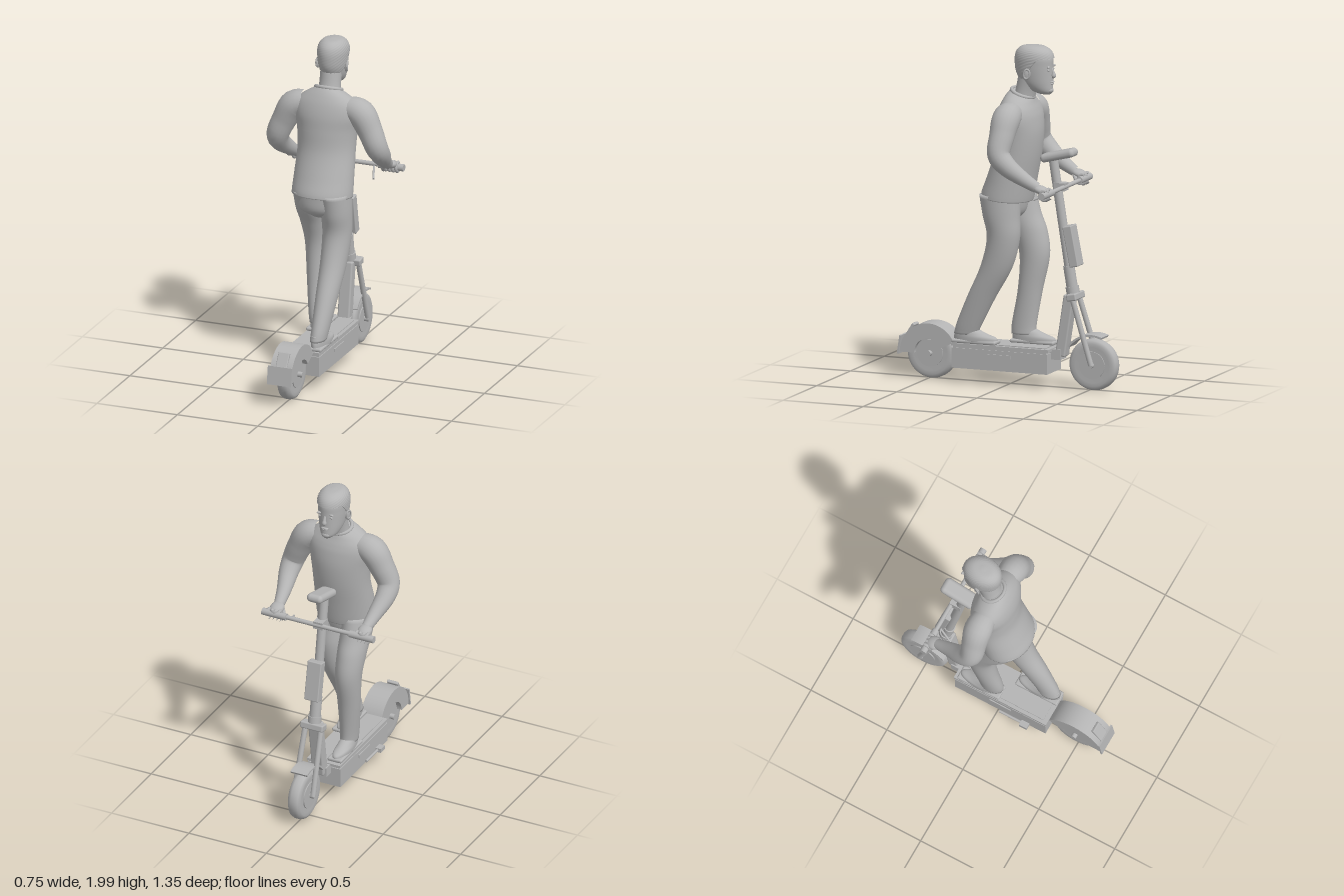
import * as THREE from 'three';
import { mergeVertices } from 'three/addons/utils/BufferGeometryUtils.js';
import { RoundedBoxGeometry } from 'three/addons/geometries/RoundedBoxGeometry.js';

const grey = new THREE.MeshStandardMaterial({ color: 0xb4b4b4 });
grey.name = 'grey';
const V = (a) => new THREE.Vector3(...a);
const UP = V([0, 1, 0]);

export function createModel() {
  const root = new THREE.Group();
  root.name = 'scooterRider';

  const add = (name, geo, pos = [0, 0, 0], rot = [0, 0, 0]) => {
    const m = new THREE.Mesh(geo, grey);
    m.name = name;
    m.position.set(...pos);
    m.rotation.set(...rot);
    root.add(m);
    return m;
  };
  const box = (name, size, pos, rot) => add(name, new THREE.BoxGeometry(...size), pos, rot);
  const rbox = (name, size, r, pos, rot) => add(name, new RoundedBoxGeometry(...size, 3, r), pos, rot);
  const ball = (name, size, pos, rot) => add(name, new THREE.SphereGeometry(1, 20, 14).scale(...size), pos, rot);

  // Places a geometry that is modelled along y between two points
  const span = (name, a, b, make) => {
    const d = V(b).sub(V(a));
    const m = add(name, make(d.length()), V(a).add(V(b)).multiplyScalar(0.5).toArray());
    m.quaternion.setFromUnitVectors(UP, d.normalize());
    return m;
  };
  const rod = (name, a, b, r, r2 = r) => span(name, a, b, (l) => new THREE.CylinderGeometry(r2, r, l, 20));
  const beam = (name, a, b, w, d, r = 0.01) => span(name, a, b, (l) => new RoundedBoxGeometry(w, l, d, 2, r));

  // Smooth skin over elliptical rings [x, y, z, rx, rz, tilt], listed bottom to top
  const loftGeo = (rows, n = 36, steps = 6) => {
    const mid = new THREE.CatmullRomCurve3(rows.map((r) => V(r.slice(0, 3))), false, 'catmullrom');
    const rad = new THREE.CatmullRomCurve3(rows.map((r) => V([r[3], r[4], r[5] || 0])), false, 'catmullrom');
    const k = (rows.length - 1) * steps, pos = [], idx = [];
    for (let i = 0; i <= k; i++) {
      const c = mid.getPoint(i / k), r = rad.getPoint(i / k);
      for (let j = 0; j < n; j++) {
        const a = (j / n) * Math.PI * 2, dz = Math.sin(a) * r.y;
        pos.push(c.x + Math.cos(a) * r.x, c.y + r.z * dz, c.z + dz);
        const p = i * n + j, q = i * n + ((j + 1) % n);
        if (i < k) idx.push(p, p + n, q, q, p + n, q + n);
      }
    }
    const first = (k + 1) * n;
    pos.push(...rows[0].slice(0, 3), ...rows[rows.length - 1].slice(0, 3));
    for (let j = 0; j < n; j++) {
      const q = (j + 1) % n;
      idx.push(first, j, q, first + 1, k * n + q, k * n + j);
    }
    const g = new THREE.BufferGeometry();
    g.setAttribute('position', new THREE.Float32BufferAttribute(pos, 3));
    g.setIndex(idx);
    g.computeVertexNormals();
    return g;
  };
  const loft = (name, rows) => add(name, loftGeo(rows));

  // Tube of varying radius through points [x, y, z, r]
  const limb = (name, pts) => {
    const curve = new THREE.CatmullRomCurve3(pts.map((p) => V(p.slice(0, 3))));
    const radii = new THREE.CatmullRomCurve3(pts.map((p) => V([p[3], 0, 0])), false, 'catmullrom');
    const seg = 30, n = 20;
    let g = new THREE.TubeGeometry(curve, seg, 1, n);
    const p = g.attributes.position, v = new THREE.Vector3();
    for (let i = 0; i < p.count; i++) {
      const u = Math.floor(i / (n + 1)) / seg, c = curve.getPointAt(u);
      v.fromBufferAttribute(p, i).sub(c).multiplyScalar(radii.getPoint(curve.getUtoTmapping(u)).x).add(c);
      p.setXYZ(i, v.x, v.y, v.z);
    }
    g.deleteAttribute('uv');
    g.deleteAttribute('normal');
    g = mergeVertices(g, 1e-5);
    g.computeVertexNormals();
    return add(name, g);
  };

  // Arched guard: ring sector in the z-y plane, extruded across x
  const guard = (name, r0, r1, from, to, width, pos) => {
    const s = new THREE.Shape();
    s.absarc(0, 0, r1, from, to, false);
    s.absarc(0, 0, r0, to, from, true);
    const g = new THREE.ExtrudeGeometry(s, { depth: width, bevelEnabled: false, curveSegments: 32 });
    return add(name, g.translate(0, 0, -width / 2).rotateY(-Math.PI / 2), pos);
  };

  // Wheels
  const wheel = (name, z) => {
    const prof = [[0, -0.036], [0.105, -0.036], [0.125, -0.04], [0.143, -0.03], [0.15, -0.012],
      [0.15, 0.012], [0.143, 0.03], [0.125, 0.04], [0.105, 0.036], [0, 0.036]];
    add(name + 'Tyre', new THREE.LatheGeometry(prof.map((p) => new THREE.Vector2(...p)), 48), [0, 0.153, z], [0, 0, Math.PI / 2]);
    add(name + 'Hub', new THREE.CylinderGeometry(0.08, 0.08, 0.084, 32), [0, 0.153, z], [0, 0, Math.PI / 2]);
    rod(name + 'Axle', [-0.07, 0.153, z], [0.07, 0.153, z], 0.016);
  };
  wheel('frontWheel', -0.523);
  wheel('rearWheel', 0.487);

  // Guards, tail light and rear plate
  guard('rearGuard', 0.088, 0.177, 0, 2.7, 0.136, [0, 0.153, 0.487]);
  guard('frontGuard', 0.168, 0.18, 0.62, 1.95, 0.108, [0, 0.153, -0.523]);
  beam('tailLight', [0, 0.21, 0.658], [0, 0.315, 0.592], 0.07, 0.02, 0.006);
  box('rearPlate', [0.15, 0.11, 0.01], [0, 0.195, 0.667], [-0.15, 0, 0]);

  // Deck
  box('deckBody', [0.21, 0.118, 0.595], [0, 0.149, 0.027]);
  box('deckLid', [0.2, 0.016, 0.58], [0, 0.212, 0.027]);
  box('deckTop', [0.212, 0.016, 0.605], [0, 0.227, 0.024]);
  box('deckMat', [0.17, 0.006, 0.55], [0, 0.237, 0.024]);
  for (const s of [1, -1]) box('sideSlot', [0.008, 0.02, 0.14], [s * 0.107, 0.175, 0.028]);
  rod('kickstandLeg', [-0.118, 0.11, 0.03], [-0.118, 0.11, 0.19], 0.008);
  box('kickstandFoot', [0.035, 0.025, 0.05], [-0.124, 0.11, 0.195]);

  // Steering neck, fork and stem
  beam('neck', [0, 0.19, -0.32], [0, 0.55, -0.375], 0.075, 0.062);
  box('neckFoot', [0.09, 0.06, 0.08], [0, 0.2, -0.29]);
  rbox('forkCrown', [0.145, 0.04, 0.06], 0.008, [0, 0.545, -0.405], [0.17, 0, 0]);
  for (const s of [1, -1]) rod('forkLeg', [s * 0.06, 0.153, -0.527], [s * 0.05, 0.54, -0.405], 0.016);
  rod('lowerStem', [0, 0.53, -0.395], [0, 0.72, -0.363], 0.033);
  rod('upperStem', [0, 0.7, -0.367], [0, 1.34, -0.266], 0.027);
  rod('stemClamp', [0, 0.56, -0.391], [0, 0.6, -0.384], 0.039);
  beam('batteryBox', [0, 0.72, -0.412], [0, 0.955, -0.366], 0.09, 0.055, 0.006);

  // Padded top
  rbox('topPad', [0.1, 0.05, 0.215], 0.024, [0, 1.362, -0.302], [0.24, 0, 0]);

  // Handlebar
  rod('handlebar', [-0.34, 1.18, -0.342], [0.34, 1.18, -0.342], 0.013);
  box('barClamp', [0.06, 0.045, 0.07], [0, 1.18, -0.315]);
  for (const s of [1, -1]) {
    rod('grip', [s * 0.205, 1.18, -0.342], [s * 0.36, 1.18, -0.342], 0.021);
    rod('brakeLever', [s * 0.18, 1.172, -0.325], [s * 0.215, 1.13, -0.232], 0.006);
  }

  // Legs, shoes and hips
  loft('rearLeg', [[0.07, 0.29, 0.25, 0.045, 0.072], [0.075, 0.36, 0.222, 0.05, 0.078], [0.08, 0.52, 0.145, 0.063, 0.086],
    [0.084, 0.7, 0.052, 0.076, 0.096], [0.088, 0.87, 0.008, 0.084, 0.098], [0.089, 1.0, 0.02, 0.088, 0.112], [0.086, 1.12, 0.03, 0.088, 0.125]]);
  loft('frontLeg', [[-0.055, 0.29, -0.058, 0.048, 0.075], [-0.06, 0.36, -0.062, 0.052, 0.075], [-0.072, 0.55, -0.093, 0.064, 0.074],
    [-0.08, 0.75, -0.117, 0.075, 0.09], [-0.086, 0.89, -0.085, 0.083, 0.105], [-0.087, 1.0, -0.03, 0.087, 0.12], [-0.086, 1.12, 0.01, 0.088, 0.13]]);
  loft('hips', [[0, 0.97, 0.02, 0.06, 0.06], [0, 1.02, 0.025, 0.14, 0.115], [0, 1.12, 0.02, 0.168, 0.13]]);
  const shoe = (name, x, z) => {
    rbox(name + 'Sole', [0.092, 0.022, 0.275], 0.01, [x, 0.249, z]);
    loft(name, [[x, 0.25, z, 0.046, 0.134], [x, 0.275, z + 0.004, 0.046, 0.13], [x, 0.295, z + 0.03, 0.042, 0.1], [x, 0.325, z + 0.062, 0.036, 0.064]]);
  };
  shoe('rearShoe', 0.07, 0.188);
  shoe('frontShoe', -0.06, -0.122);

  // Shirt with collar
  loft('shirt', [[0, 1.095, 0.02, 0.181, 0.148, 0.1], [0, 1.13, 0.012, 0.181, 0.148, 0.08], [0, 1.22, -0.012, 0.178, 0.142],
    [0, 1.36, -0.048, 0.174, 0.132], [0, 1.48, -0.06, 0.183, 0.13], [0, 1.57, -0.06, 0.2, 0.122], [0, 1.63, -0.062, 0.19, 0.107, 0.1],
    [0, 1.675, -0.066, 0.145, 0.088, 0.2], [0, 1.705, -0.073, 0.093, 0.072, 0.3], [0, 1.715, -0.076, 0.07, 0.062, 0.35]]);
  add('collar', new THREE.TorusGeometry(0.072, 0.011, 10, 36).rotateX(Math.PI / 2).scale(1.05, 1, 0.94), [0, 1.712, -0.077], [-0.36, 0, 0]);

  // Arms and hands
  for (const s of [1, -1]) {
    limb('arm', [[s * 0.13, 1.615, -0.06, 0.07], [s * 0.205, 1.59, -0.06, 0.083], [s * 0.262, 1.5, -0.056, 0.074], [s * 0.307, 1.395, -0.055, 0.066],
      [s * 0.312, 1.335, -0.105, 0.058], [s * 0.295, 1.265, -0.2, 0.043], [s * 0.283, 1.215, -0.285, 0.031]]);
    ball('palm', [0.042, 0.026, 0.05], [s * 0.284, 1.205, -0.31], [-0.3, 0, 0]);
    for (let i = 0; i < 4; i++) {
      add('finger', new THREE.TorusGeometry(0.026, 0.0105, 8, 14, 4).rotateZ(1.2).rotateY(Math.PI / 2),
        [s * (0.25 + i * 0.023), 1.18, -0.345]);
    }
    limb('thumb', [[s * 0.262, 1.2, -0.29, 0.014], [s * 0.244, 1.178, -0.305, 0.012], [s * 0.238, 1.155, -0.33, 0.009], [s * 0.238, 1.152, -0.345, 0.002]]);
  }

  // Head
  loft('neck', [[0, 1.67, -0.08, 0.068, 0.064], [0, 1.74, -0.1, 0.063, 0.062], [0, 1.82, -0.125, 0.064, 0.072]]);
  const skull = [[0, 1.715, -0.215, 0.024, 0.036], [0, 1.735, -0.195, 0.049, 0.066], [0, 1.775, -0.168, 0.067, 0.094], [0, 1.83, -0.154, 0.077, 0.108],
    [0, 1.88, -0.15, 0.082, 0.112], [0, 1.925, -0.15, 0.083, 0.111], [0, 1.96, -0.148, 0.072, 0.095], [0, 1.983, -0.145, 0.045, 0.06], [0, 1.99, -0.145, 0.005, 0.005]];
  loft('head', skull);

  // Hair cap whose lower edge rises from nape to forehead
  const hair = loftGeo(skull.slice(2).map(([x, y, z, rx, rz]) => [x, y + 0.007, z + 0.001, rx + 0.006, rz + 0.006]), 48, 8);
  const hp = hair.attributes.position;
  for (let i = 0; i < hp.count; i++) {
    const z = hp.getZ(i), t = THREE.MathUtils.smoothstep(-z, 0.09, 0.215);
    hp.setY(i, Math.max(hp.getY(i), 1.805 + 0.12 * t));
    hp.setX(i, hp.getX(i) + 0.0015 * Math.sin(i * 2.4));
  }
  hair.computeVertexNormals();
  add('hair', hair);

  // Face
  limb('nose', [[0, 1.868, -0.257, 0.006], [0, 1.84, -0.266, 0.01], [0, 1.822, -0.268, 0.014], [0, 1.812, -0.258, 0.006]]);
  ball('upperLip', [0.024, 0.006, 0.01], [0, 1.787, -0.26]);
  ball('lowerLip', [0.02, 0.007, 0.01], [0, 1.776, -0.257]);
  ball('chin', [0.028, 0.018, 0.02], [0, 1.738, -0.246]);
  for (const s of [1, -1]) {
    ball('brow', [0.022, 0.007, 0.009], [s * 0.034, 1.877, -0.25], [0, s * 0.35, 0]);
    ball('eye', [0.013, 0.007, 0.007], [s * 0.033, 1.858, -0.249], [0, s * 0.35, 0]);
    ball('ear', [0.009, 0.032, 0.02], [s * 0.084, 1.835, -0.138], [-0.15, s * 0.35, 0]);
    add('earRim', new THREE.TorusGeometry(0.02, 0.005, 8, 20).scale(0.85, 1.35, 1).rotateY(Math.PI / 2), [s * 0.091, 1.838, -0.137], [-0.15, s * 0.35, 0]);
  }
  return root;
}
